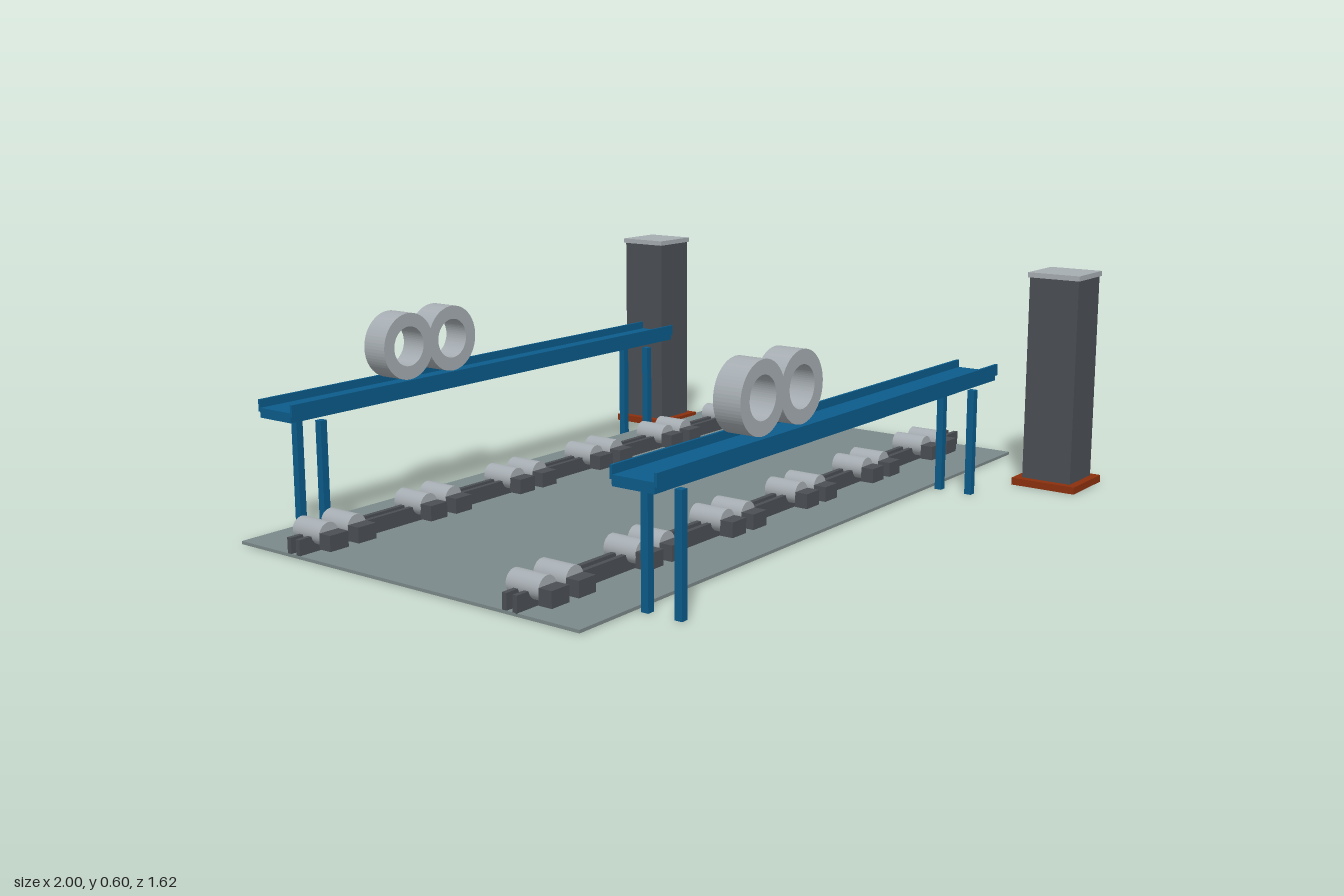
import * as THREE from 'three';

const material = (name, color) => new THREE.MeshStandardMaterial({ name, color });

export function createModel() {
  const floorGrey = material('floor grey', 0x7b898a);
  const darkGrey = material('dark grey', 0x4b4f54);
  const lightGrey = material('light grey', 0xa6adb2);
  const blue = material('tray blue', 0x0b5b8a);
  const rust = material('base rust', 0x8c300e);

  const model = new THREE.Group();
  model.name = 'workshopLine';

  // Box given by its minimum and maximum on each axis
  function box(parent, name, mat, [x0, x1], [y0, y1], [z0, z1]) {
    const mesh = new THREE.Mesh(new THREE.BoxGeometry(x1 - x0, y1 - y0, z1 - z0), mat);
    mesh.position.set((x0 + x1) / 2, (y0 + y1) / 2, (z0 + z1) / 2);
    mesh.name = name;
    parent.add(mesh);
    return mesh;
  }

  function group(name, z) {
    const g = new THREE.Group();
    g.name = name;
    g.position.z = z;
    model.add(g);
    return g;
  }

  // Floor plate
  box(model, 'floor', floorGrey, [-1, 1], [0.002, 0.01], [-0.64, 0.455]);

  // Ring-shaped coil, turned as a closed rectangular section, axis along z
  const half = 0.0375, outer = 0.089, inner = 0.053;
  const ringShape = new THREE.Shape().absarc(0, 0, outer, 0, Math.PI * 2, false);
  ringShape.holes.push(new THREE.Path().absarc(0, 0, inner, 0, Math.PI * 2, true));
  const coilGeometry = new THREE.ExtrudeGeometry(ringShape, {
    depth: half * 2, bevelEnabled: false, curveSegments: 32,
  }).translate(0, 0, -half);

  // Raised trays with legs and coils
  for (const [name, z] of [['frontTray', 0.525], ['backTray', -0.606]]) {
    const tray = group(name, z);
    box(tray, 'trayPlate', blue, [-0.905, 0.632], [0.303, 0.328], [-0.057, 0.057]);
    for (const s of [-1, 1]) {
      const edges = [s * 0.056, s * 0.063].sort((a, b) => a - b);
      box(tray, 'trayLip', blue, [-0.905, 0.632], [0.318, 0.349], edges);
      for (const x of [-0.8, 0.52]) {
        box(tray, 'trayLeg', blue, [x - 0.01, x + 0.01], [0, 0.292],
          [s * 0.046 - 0.01, s * 0.046 + 0.01]);
      }
    }
    for (const x of [-0.482, -0.321]) {
      const coil = new THREE.Mesh(coilGeometry, lightGrey);
      coil.name = 'coil';
      coil.position.set(x, 0.434, 0);
      tray.add(coil);
    }
  }

  // Rail lines carrying pairs of motors
  const motorGeometry = new THREE.CylinderGeometry(0.03, 0.03, 0.096, 32).rotateX(Math.PI / 2);
  for (const [name, z] of [['frontRail', 0.257], ['backRail', -0.446]]) {
    const line = group(name, z);
    for (const dz of [-0.0155, 0.0155]) {
      box(line, 'rail', darkGrey, [-1, 1], [0.008, 0.05], [dz - 0.0065, dz + 0.0065]);
    }
    for (let i = 0; i < 6; i++) {
      for (const dx of [0, 0.09]) {
        const x = -0.933 + i * 0.336 + dx;
        const motor = new THREE.Mesh(motorGeometry, lightGrey);
        motor.name = 'motor';
        motor.position.set(x, 0.055, 0.003);
        line.add(motor);
        box(line, 'motorBox', darkGrey, [x - 0.029, x + 0.029], [0.023, 0.063], [0.05, 0.088]);
      }
    }
  }

  // Corner pillars
  for (const [name, z] of [['frontPillar', 0.713], ['backPillar', -0.715]]) {
    const pillar = group(name, z);
    box(pillar, 'pillarBase', rust, [0.682, 0.86], [0, 0.02], [-0.094, 0.094]);
    box(pillar, 'pillarBody', darkGrey, [0.704, 0.84], [0.02, 0.588], [-0.072, 0.072]);
    box(pillar, 'pillarCap', lightGrey, [0.698, 0.846], [0.588, 0.602], [-0.076, 0.076]);
    box(pillar, 'controlPanel', floorGrey, [0.84, 0.847], [0.396, 0.464], [-0.026, 0.026]);
  }

  return model;
}
